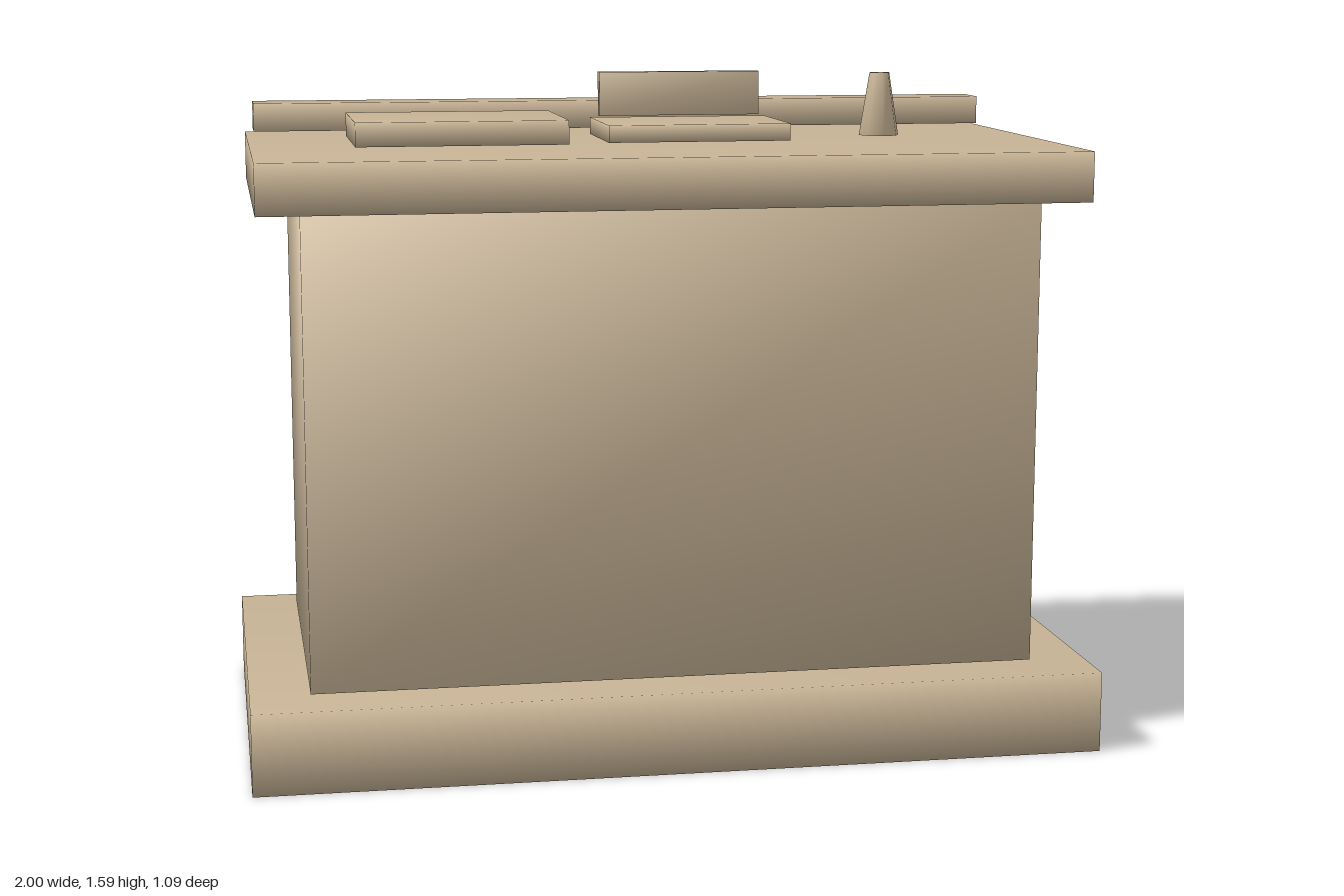
import * as THREE from 'three';
import { mergeVertices } from 'three/addons/utils/BufferGeometryUtils.js';

const stone = new THREE.MeshStandardMaterial({ color: 0xc8b496 });
stone.name = 'sandstone';

// Weld corners so the shading runs softly across every edge
function soften(geometry) {
  geometry.deleteAttribute('normal');
  geometry.deleteAttribute('uv');
  const welded = mergeVertices(geometry, 1e-4);
  welded.computeVertexNormals();
  return welded;
}

function addPart(group, name, geometry, x, y, z) {
  const mesh = new THREE.Mesh(soften(geometry), stone);
  mesh.name = name;
  mesh.position.set(x, y, z);
  group.add(mesh);
}

// Block given by its extents along each axis
function addBlock(group, name, [x0, x1], [y0, y1], [z0, z1]) {
  const geometry = new THREE.BoxGeometry(x1 - x0, y1 - y0, z1 - z0);
  addPart(group, name, geometry, (x0 + x1) / 2, (y0 + y1) / 2, (z0 + z1) / 2);
}

export function createModel() {
  const group = new THREE.Group();
  group.name = 'counter';

  // Plinth, body and top slab, separated by thin gaps
  addBlock(group, 'base', [-1, 1], [0, 0.193], [-0.543, 0.543]);
  addBlock(group, 'body', [-0.86, 0.86], [0.199, 1.301], [-0.423, 0.423]);
  addBlock(group, 'topSlab', [-0.96, 0.96], [1.308, 1.426], [-0.497, 0.497]);

  // Raised rail along the back edge
  addBlock(group, 'backRail', [-0.94, 0.94], [1.434, 1.504], [-0.488, -0.37]);

  // Items lying on the top
  addBlock(group, 'largePad', [-0.72, -0.22], [1.434, 1.491], [-0.188, 0.188]);
  addBlock(group, 'smallPad', [-0.12, 0.32], [1.434, 1.475], [-0.152, 0.152]);
  addBlock(group, 'uprightPanel', [-0.1, 0.3], [1.48, 1.587], [-0.152, -0.121]);

  // Tapered eight-sided post
  addPart(group, 'post', new THREE.CylinderGeometry(0.025, 0.05, 0.153, 8), 0.577, 1.5105, 0);

  return group;
}
